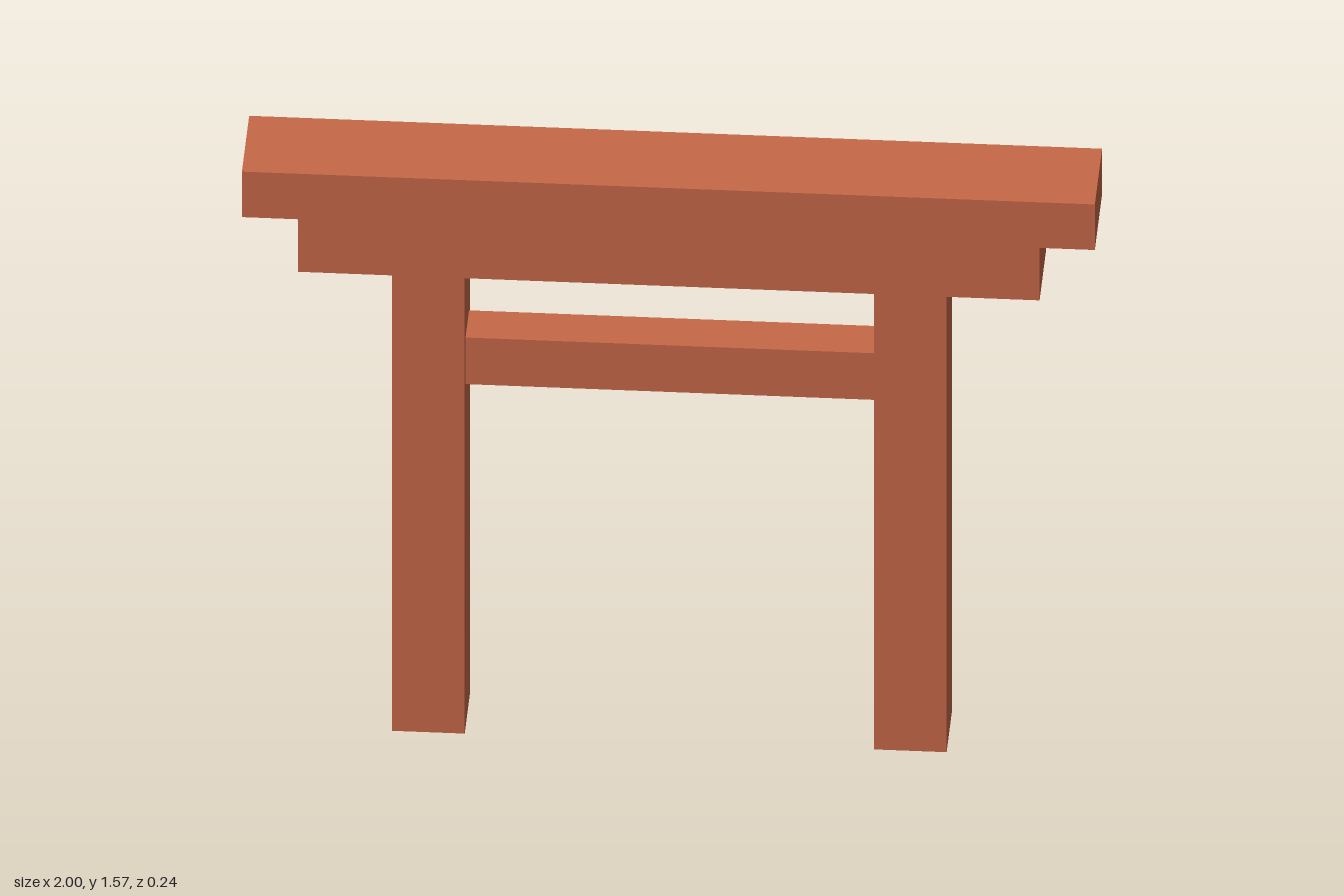
import * as THREE from 'three';

export function createModel() {
  const group = new THREE.Group();
  const vermilion = new THREE.MeshStandardMaterial({ color: 0xc76848 });
  vermilion.name = 'vermilion';

  // Box beam centred on z = 0, from height y0 to y1
  function beam(name, x, width, y0, y1, depth) {
    const mesh = new THREE.Mesh(new THREE.BoxGeometry(width, y1 - y0, depth), vermilion);
    mesh.name = name;
    mesh.position.set(x, (y0 + y1) / 2, 0);
    group.add(mesh);
  }

  // Posts
  beam('leftPost', 0.565, 0.17, 0, 1.285, 0.17);
  beam('rightPost', -0.565, 0.17, 0, 1.285, 0.17);

  // Cross beams
  beam('tieBeam', 0, 0.96, 0.958, 1.088, 0.117);
  beam('lowerLintel', 0, 1.739, 1.285, 1.44, 0.214);
  beam('topLintel', 0, 2, 1.44, 1.567, 0.24);

  return group;
}
